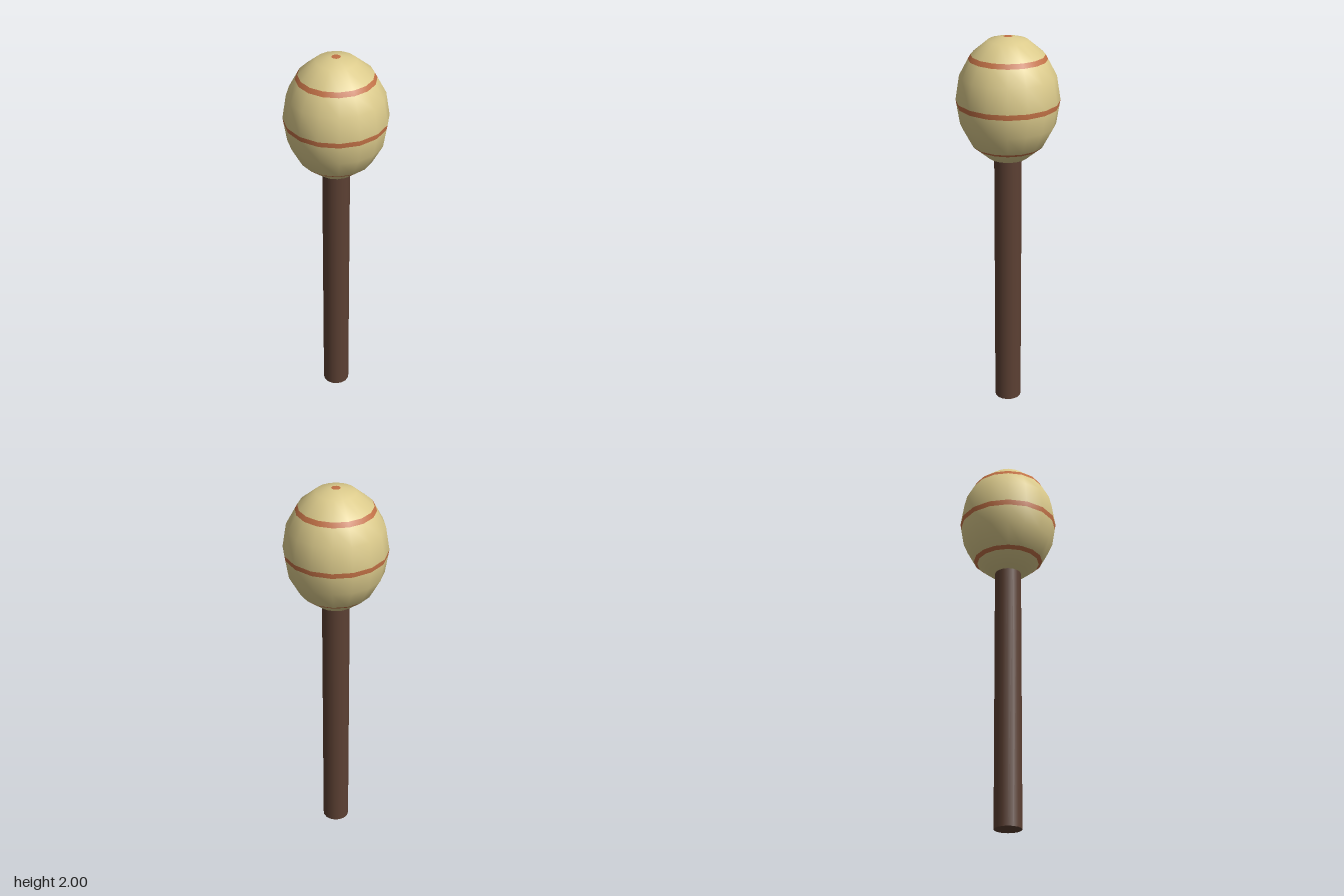
import * as THREE from 'three';

const SIDES = 16, RINGS = 8;
const RX = 0.257, RY = 0.32, CENTRE_Y = 1.68;
const STRIPE = 0.22; // share of one ring step covered by a stripe

const cream = new THREE.MeshStandardMaterial({ name: 'cream', color: 0xdccb8c });
const rust = new THREE.MeshStandardMaterial({ name: 'rust', color: 0xc07045 });
const brown = new THREE.MeshStandardMaterial({ name: 'brown', color: 0x5c4033 });

// Profile point at ring position t (0 = top pole, RINGS = bottom pole), straight between rings
function profile(t) {
  const ring = (i) => new THREE.Vector2(
    Math.max(0, RX * Math.sin((i * Math.PI) / RINGS)), RY * Math.cos((i * Math.PI) / RINGS));
  const i = Math.floor(t);
  return ring(i).lerp(ring(i + 1), t - i);
}

// Band of the egg-shaped head, with smooth ellipsoid normals
function band(name, material, stops) {
  const points = stops.map(profile).reverse();
  const geometry = new THREE.LatheGeometry(points, SIDES);
  const { position, normal } = geometry.attributes;
  const n = new THREE.Vector3();
  for (let i = 0; i < position.count; i++) {
    n.fromBufferAttribute(position, i);
    n.set(n.x / RX ** 2, n.y / RY ** 2, n.z / RX ** 2).normalize();
    normal.setXYZ(i, n.x, n.y, n.z);
  }
  const mesh = new THREE.Mesh(geometry, material);
  mesh.name = name;
  return mesh;
}

export function createModel() {
  const model = new THREE.Group();
  model.name = 'mallet';

  // Head: four quarters, each starting with a thin stripe
  const head = new THREE.Group();
  head.name = 'head';
  head.position.y = CENTRE_Y;
  for (let q = 0; q < 4; q++) {
    const t = q * 2;
    head.add(band(q === 0 ? 'tipSpot' : 'stripe' + q, rust, [t, t + STRIPE]));
    head.add(band('headBand' + q, cream, [t + STRIPE, t + 1, t + 2]));
  }
  model.add(head);

  // Handle, running a little way into the head
  const length = 1.42;
  const handle = new THREE.Mesh(new THREE.CylinderGeometry(0.069, 0.069, length, SIDES), brown);
  handle.name = 'handle';
  handle.position.y = length / 2;
  model.add(handle);

  return model;
}
